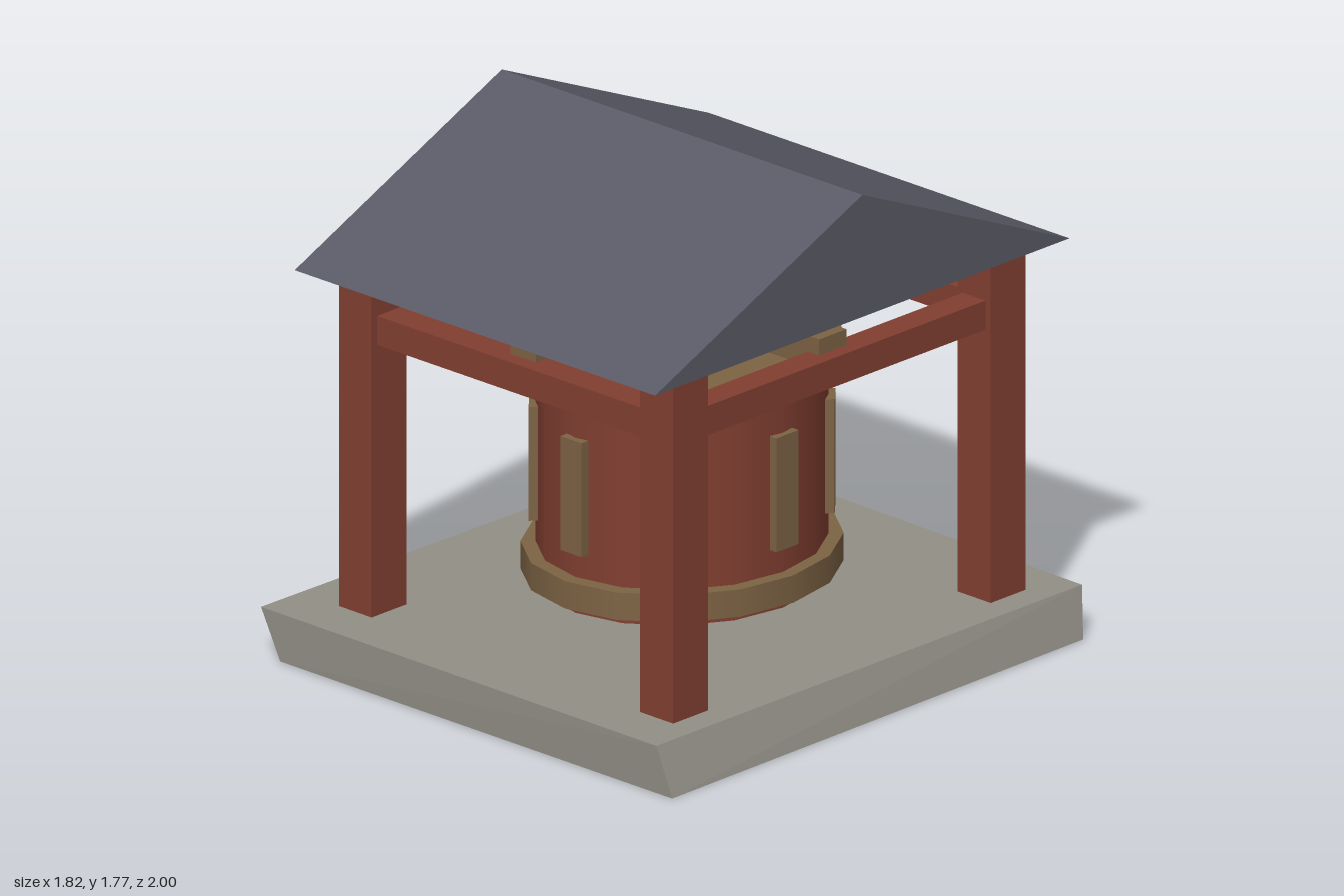
import * as THREE from 'three';
import { ConvexGeometry } from 'three/addons/geometries/ConvexGeometry.js';

const material = (name, color) => new THREE.MeshStandardMaterial({ name, color });

export function createModel() {
  const red = material('redPaintedWood', 0x823f31);
  const brown = material('brownWood', 0x7d6344);
  const stone = material('stone', 0x928f86);
  const metal = material('greyHub', 0x8e8e88);
  const slate = material('slateRoof', 0x5a5a66);

  const model = new THREE.Group();
  model.name = 'drumPavilion';

  const add = (parent, name, geometry, mat, x = 0, y = 0, z = 0) => {
    const mesh = new THREE.Mesh(geometry, mat);
    mesh.name = name;
    mesh.position.set(x, y, z);
    parent.add(mesh);
    return mesh;
  };
  const box = (parent, name, mat, w, y0, y1, d, x = 0, z = 0) =>
    add(parent, name, new THREE.BoxGeometry(w, y1 - y0, d), mat, x, (y0 + y1) / 2, z);
  const cylinder = (parent, name, mat, r, y0, y1, sides, start = 0) =>
    add(parent, name, new THREE.CylinderGeometry(r, r, y1 - y0, sides, 1, false, start), mat, 0, (y0 + y1) / 2);
  const hull = (points) => new ConvexGeometry(points.map((p) => new THREE.Vector3(...p)));

  // Rough, slightly skewed stone slab
  add(model, 'base', hull([
    [-0.825, 0.005, 1], [0.91, 0, 0.995], [0.9, 0.005, -0.92], [-0.81, 0.005, -1],
    [-0.91, 0.17, 1], [0.845, 0.165, 1], [0.847, 0.165, -0.97], [-0.88, 0.17, -0.988],
  ]), stone);

  // Everything above the slab is a little longer front to back
  const frame = new THREE.Group();
  frame.name = 'pavilion';
  frame.position.set(0.006, 0, 0.005);
  frame.scale.z = 1.1;
  model.add(frame);

  // Gabled roof with its ridge along x
  add(frame, 'roof', hull([-0.8, 0.8].flatMap((x) => [
    [x, 1.35, -0.873], [x, 1.35, 0.873], [x, 1.77, 0],
  ])), slate);

  // Posts, perimeter beams and crossed hanging beams
  const P = 0.669;
  for (const s of [-1, 1]) {
    for (const t of [-1, 1]) box(frame, 'post', red, 0.146, 0.16, 1.352, 0.146, s * P, t * P);
    box(frame, 'sideBeam', red, 0.1, 1.1, 1.2, 2 * P - 0.14, s * P, 0);
    box(frame, 'endBeam', red, 2 * P - 0.14, 1.1, 1.2, 0.1, 0, s * P);
  }
  box(frame, 'crossBeam', brown, 2 * P, 1.15, 1.255, 0.115);
  box(frame, 'crossBeam', brown, 0.115, 1.15, 1.256, 2 * P);

  // Hub: square block with chamfered corners, tapering into the drum
  const hub = [];
  for (const [y, k] of [[1.02, 0.6], [1.1, 1], [1.333, 1], [1.352, 0.9]]) {
    for (const sx of [-1, 1]) for (const sz of [-1, 1]) {
      hub.push([sx * 0.24 * k, y, sz * 0.207 * k], [sx * 0.207 * k, y, sz * 0.24 * k]);
    }
  }
  add(frame, 'hub', hull(hub), metal);

  // Drum with two bands, eight slats and a bottom stub
  const drum = new THREE.Group();
  drum.name = 'drum';
  frame.add(drum);
  cylinder(drum, 'drumBody', red, 0.448, 0.255, 1.05, 16);
  cylinder(drum, 'lowerBand', brown, 0.494, 0.284, 0.378, 16);
  cylinder(drum, 'upperBand', brown, 0.494, 0.972, 1.073, 16);
  cylinder(drum, 'bottomStub', brown, 0.066, 0.203, 0.27, 6, Math.PI / 6);
  for (let i = 0; i < 8; i++) {
    const a = (i * Math.PI) / 4;
    const slat = box(drum, 'slat', brown, 0.093, 0.465, 0.857, 0.05, Math.sin(a) * 0.443, Math.cos(a) * 0.443);
    slat.rotation.y = a;
  }

  return model;
}
